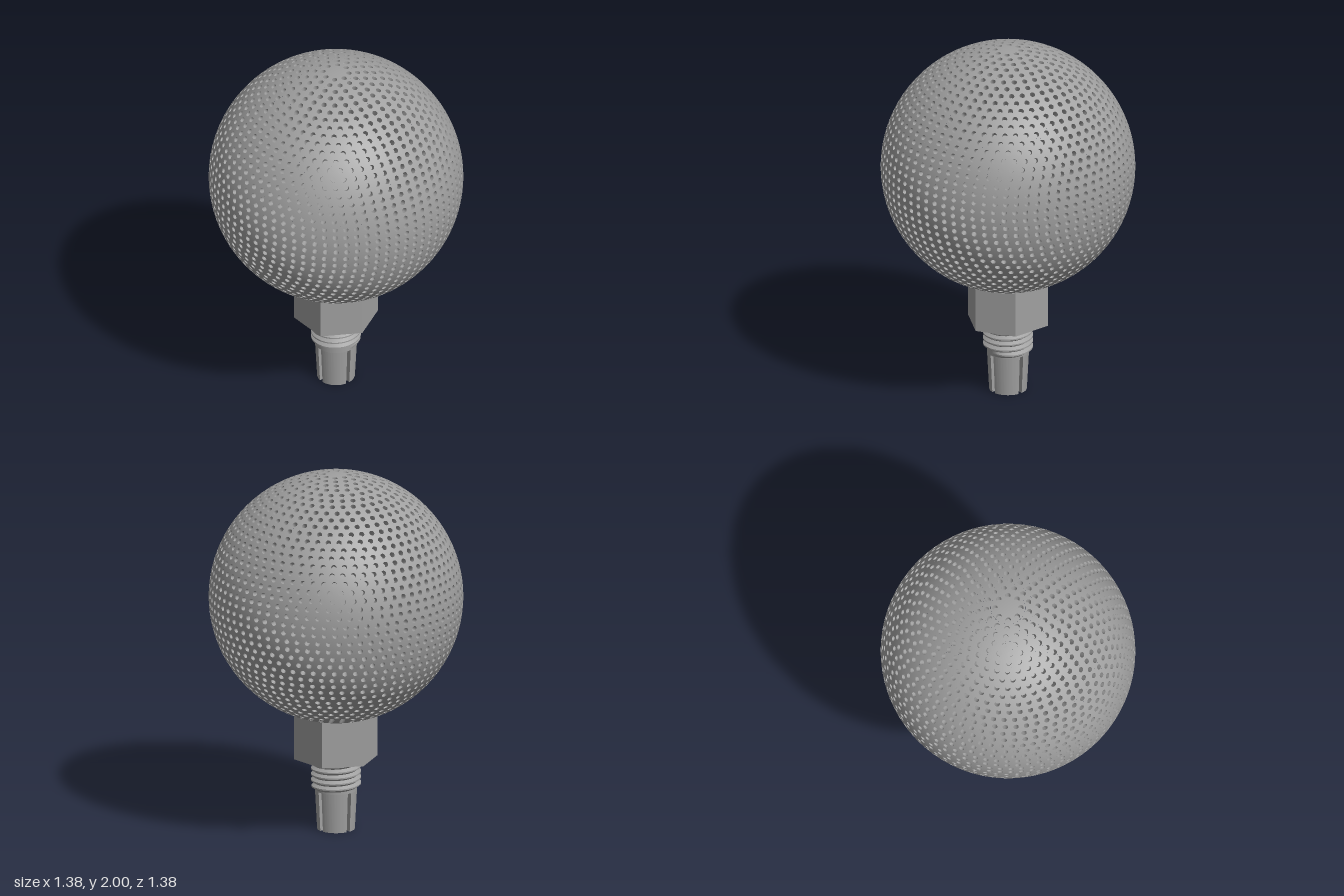
import * as THREE from 'three';
import { toCreasedNormals } from 'three/addons/utils/BufferGeometryUtils.js';

const R = 0.69, CENTRE_Y = 1.31;          // ball
const ROWS = 46, FIRST_ROW = 1, LAST_ROW = 41;
const HOLE_R = 0.0148, HOLE_DEPTH = 0.04, HOLE_GAP = 0.058, SIDES = 12;

function onSphere(theta, phi) {
  return new THREE.Vector3(
    Math.sin(theta) * Math.cos(phi), Math.cos(theta), Math.sin(theta) * Math.sin(phi));
}

// Ball skin made of cells, each a patch of sphere with a round pocket in it
function perforatedSkin() {
  const pos = [], nor = [], idx = [];
  const add = (p, n) => {
    pos.push(p.x, p.y, p.z);
    nor.push(n.x, n.y, n.z);
    return pos.length / 3 - 1;
  };
  const rowStep = Math.PI / ROWS;
  for (let row = FIRST_ROW; row <= LAST_ROW; row++) {
    const theta = (row + 0.5) * rowStep;
    const count = Math.round(2 * Math.PI * R * Math.sin(theta) / HOLE_GAP);
    for (let j = 0; j < count; j++) {
      const phi = j / count * 2 * Math.PI;
      const axis = onSphere(theta, phi);
      const e1 = new THREE.Vector3(-Math.sin(phi), 0, Math.cos(phi));
      const e2 = onSphere(theta + Math.PI / 2, phi);
      const rim = [], edge = [], wallTop = [], wallLow = [], floor = [];
      for (let k = 0; k < SIDES; k++) {
        // matching points on the round rim and on the cell border
        const a = Math.PI / 4 + k / SIDES * 2 * Math.PI;
        const out = e1.clone().multiplyScalar(Math.cos(a)).addScaledVector(e2, Math.sin(a));
        const dir = axis.clone().multiplyScalar(R).addScaledVector(out, HOLE_R).normalize();
        const top = dir.clone().multiplyScalar(R);
        const low = top.clone().addScaledVector(axis, -HOLE_DEPTH);
        const inward = out.clone().negate();
        const t = (k % 3) / 3 * 2 - 1;
        const [u, v] = [[-t, 1], [-1, -t], [t, -1], [1, t]][Math.floor(k / 3)];
        const border = onSphere(theta + v * rowStep / 2, phi + u * Math.PI / count);
        rim.push(add(top, dir));
        edge.push(add(border.clone().multiplyScalar(R), border));
        wallTop.push(add(top, inward));
        wallLow.push(add(low, inward));
        floor.push(add(low, axis));
      }
      for (let k = 0; k < SIDES; k++) {
        const n = (k + 1) % SIDES;
        idx.push(rim[k], edge[k], edge[n], rim[k], edge[n], rim[n]);
        idx.push(wallLow[n], wallLow[k], wallTop[k], wallLow[n], wallTop[k], wallTop[n]);
        if (k > 0 && n > 0) idx.push(floor[0], floor[k], floor[n]);
      }
    }
  }
  const g = new THREE.BufferGeometry();
  g.setAttribute('position', new THREE.Float32BufferAttribute(pos, 3));
  g.setAttribute('normal', new THREE.Float32BufferAttribute(nor, 3));
  g.setIndex(idx);
  return g;
}

// Triangular ridge swept along a right-handed helix
function threadRidge(y0, y1, turns, rootR, crestR) {
  const pos = [], idx = [], steps = Math.round(turns * 40);
  const half = (y1 - y0) / turns * 0.46;
  for (let i = 0; i <= steps; i++) {
    const f = i / steps, a = f * turns * 2 * Math.PI;
    const y = y0 + half + f * (y1 - y0 - 2 * half);
    const fade = Math.min(1, f * turns * 6, (1 - f) * turns * 6);
    const crest = rootR + (crestR - rootR) * fade;
    const profile = [[rootR, -half], [crest, -half * 0.2], [crest, half * 0.2], [rootR, half]];
    for (const [r, dy] of profile) pos.push(r * Math.cos(a), y + dy, -r * Math.sin(a));
    if (i < steps) for (let k = 0; k < 3; k++) {
      const p = i * 4 + k, q = p + 4;
      idx.push(p, q, q + 1, p, q + 1, p + 1);
    }
  }
  const g = new THREE.BufferGeometry();
  g.setAttribute('position', new THREE.Float32BufferAttribute(pos, 3));
  g.setIndex(idx);
  return toCreasedNormals(g, 0.5);
}

// One quarter of the slotted, tapered sleeve
function colletJaw(outer, inner, height, halfSlot, bottomScale) {
  const a = Math.asin(halfSlot / outer), b = Math.asin(halfSlot / inner);
  const s = new THREE.Shape();
  s.absarc(0, 0, outer, a, Math.PI / 2 - a, false);
  s.absarc(0, 0, inner, Math.PI / 2 - b, b, true);
  s.closePath();
  const g = new THREE.ExtrudeGeometry(s, { depth: height, bevelEnabled: false, curveSegments: 12 });
  g.rotateX(-Math.PI / 2);
  const p = g.attributes.position;
  for (let i = 0; i < p.count; i++) {
    if (Math.hypot(p.getX(i), p.getZ(i)) < (outer + inner) / 2) continue;
    const k = THREE.MathUtils.lerp(bottomScale, 1, p.getY(i) / height);
    p.setX(i, p.getX(i) * k);
    p.setZ(i, p.getZ(i) * k);
  }
  return toCreasedNormals(g, 0.5);
}

export function createModel() {
  const group = new THREE.Group();
  const metal = new THREE.MeshStandardMaterial({ color: 0xa0a0a0 });
  metal.name = 'grey metal';
  const add = (name, geometry, y = 0) => {
    const mesh = new THREE.Mesh(geometry, metal);
    mesh.name = name;
    mesh.position.y = y;
    group.add(mesh);
    return mesh;
  };

  // Ball: pocketed skin and the plain caps at its poles
  const step = Math.PI / ROWS;
  const bottomStart = (LAST_ROW + 1) * step;
  add('perforatedBall', perforatedSkin(), CENTRE_Y);
  add('topCap', new THREE.SphereGeometry(R, 48, 3, 0, Math.PI * 2, 0, FIRST_ROW * step), CENTRE_Y);
  add('bottomCap', new THREE.SphereGeometry(R, 48, 4, 0, Math.PI * 2,
    bottomStart, Math.PI - bottomStart), CENTRE_Y);

  // Hex nut with corners on the x axis
  const nut = new THREE.CylinderGeometry(0.23, 0.23, 0.26, 6, 1, false, Math.PI / 2);
  add('hexNut', toCreasedNormals(nut, 0.3), 0.53);

  // Threaded neck
  add('threadCore', new THREE.CylinderGeometry(0.115, 0.115, 0.18, 40), 0.31);
  add('threadRidge', threadRidge(0.22, 0.405, 4.6, 0.114, 0.136));

  // Four sleeve jaws divided by crossed slots
  for (let i = 0; i < 4; i++) {
    add('colletJaw' + (i + 1), colletJaw(0.114, 0.07, 0.221, 0.012, 0.9)).rotation.y = i * Math.PI / 2;
  }
  return group;
}
